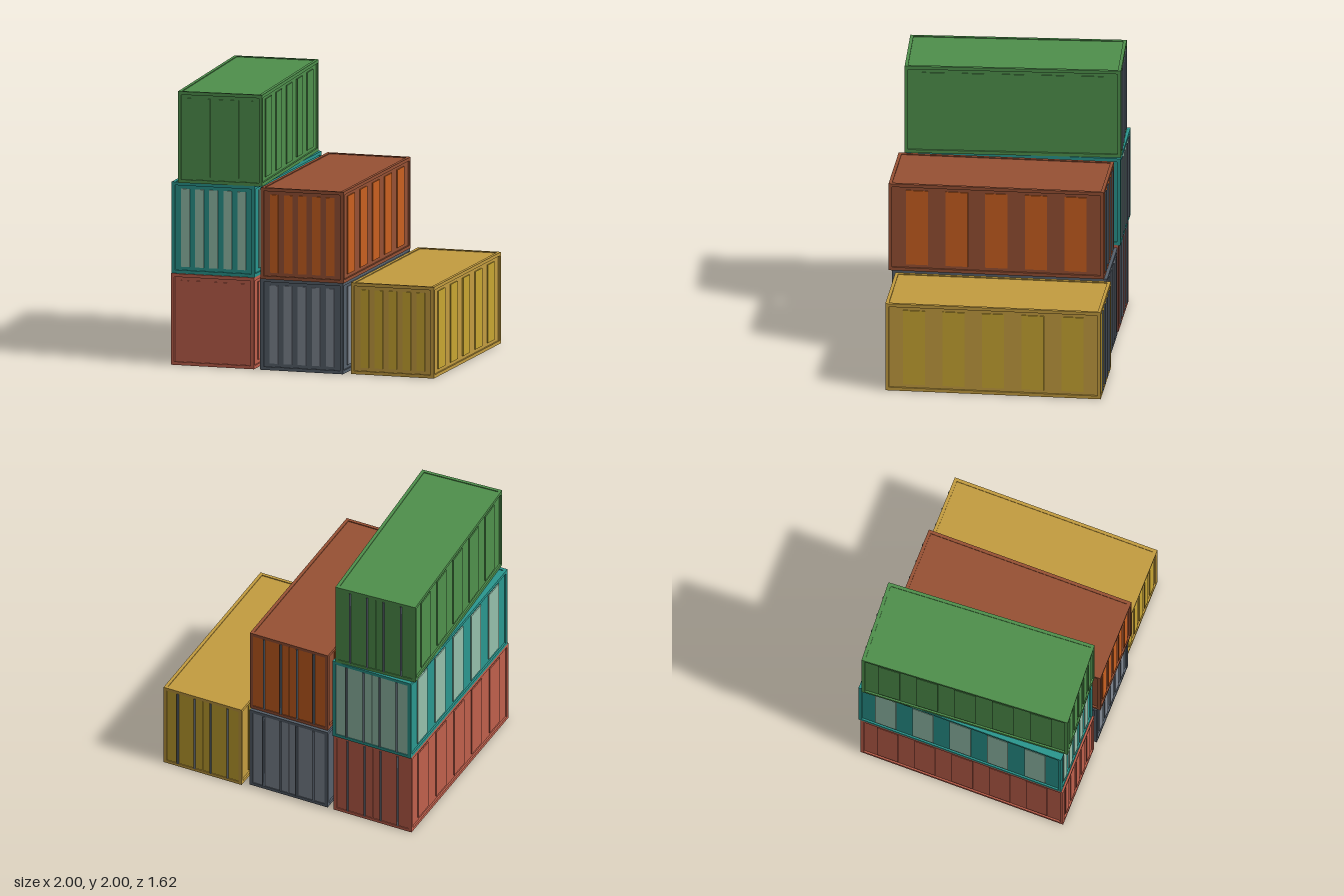
import * as THREE from 'three';

const W = 0.627, H = 0.667, L = 1.56; // container size
const F = 0.024;                      // frame bar thickness
const INSET = 0.013;                  // wall depth behind the frame
const RIB = 0.008;                    // rib height over the wall

const mat = (name, color) => new THREE.MeshStandardMaterial({ name, color });

function box(parent, name, material, size, pos) {
  const mesh = new THREE.Mesh(new THREE.BoxGeometry(...size), material);
  mesh.name = name;
  mesh.position.set(...pos);
  parent.add(mesh);
  return mesh;
}

function container(name, paint, panel, rodMat) {
  const g = new THREE.Group();
  g.name = name;

  // inset body
  box(g, 'walls', paint, [W - 2 * INSET, H - 0.012, L - 2 * INSET], [0, H / 2, 0]);

  // frame: corner posts, side rails and end rails
  for (const a of [-1, 1]) for (const b of [-1, 1]) {
    const x = a * (W - F) / 2, z = b * (L - F) / 2, y = H / 2 + b * (H - F) / 2;
    box(g, 'cornerPost', paint, [F, H, F], [x, H / 2, z]);
    box(g, 'sideRail', paint, [F, F, L - 2 * F], [x, y, 0]);
    box(g, 'endRail', paint, [W - 2 * F, F, F], [0, y, a * (L - F) / 2]);
  }

  // pressed ribs on the front end and both long sides
  for (let i = -2; i <= 2; i++) {
    box(g, 'frontRib', panel, [0.062, 0.57, RIB], [i * 0.106, H / 2, L / 2 - INSET + RIB / 2]);
    for (const s of [-1, 1]) {
      box(g, 'sideRib', panel, [RIB, 0.57, 0.16], [s * (W / 2 - INSET + RIB / 2), H / 2, i * 0.287]);
    }
  }

  // double doors at the back with locking rods
  for (const s of [-1, 1]) {
    const dw = W / 2 - F - 0.002;
    box(g, 'door', panel, [dw, H - 2 * F, RIB], [s * (dw / 2 + 0.002), H / 2, -L / 2 + INSET - RIB / 2]);
    for (const x of [0.065, 0.2]) {
      const rod = new THREE.Mesh(new THREE.CylinderGeometry(0.008, 0.008, H - 2 * F, 8), rodMat);
      rod.name = 'lockingRod';
      rod.position.set(s * x, H / 2, -L / 2);
      g.add(rod);
    }
  }
  return g;
}

export function createModel() {
  const model = new THREE.Group();
  model.name = 'containerStack';

  const red = mat('red', 0xc0604c), green = mat('green', 0x4f904c);
  const teal = mat('teal', 0x2a978f), mint = mat('mint', 0x95c0ac);
  const rust = mat('rust', 0x975134), orange = mat('orange', 0xca6020);
  const slate = mat('slate', 0x56606b), paleSlate = mat('paleSlate', 0x808893);
  const ochre = mat('ochre', 0xc49d40), yellow = mat('yellow', 0xc9a632);

  // name, frame colour, panel colour, x, level, z, turn
  const stack = [
    ['redContainer', red, red, -0.665, 0, 0.005, 0],
    ['slateContainer', slate, paleSlate, 0.01, 0, 0.007, 0],
    ['yellowContainer', ochre, yellow, 0.686, 0, -0.025, 0],
    ['tealContainer', teal, mint, -0.665, 1, -0.01, 0],
    ['rustContainer', rust, orange, 0.02, 1, 0.03, 0],
    ['greenContainer', green, green, -0.648, 2, 0.004, 0.051],
  ];
  for (const [name, paint, panel, x, level, z, turn] of stack) {
    const c = container(name, paint, panel, slate);
    c.position.set(x, level * H, z);
    c.rotation.y = turn;
    model.add(c);
  }
  return model;
}
